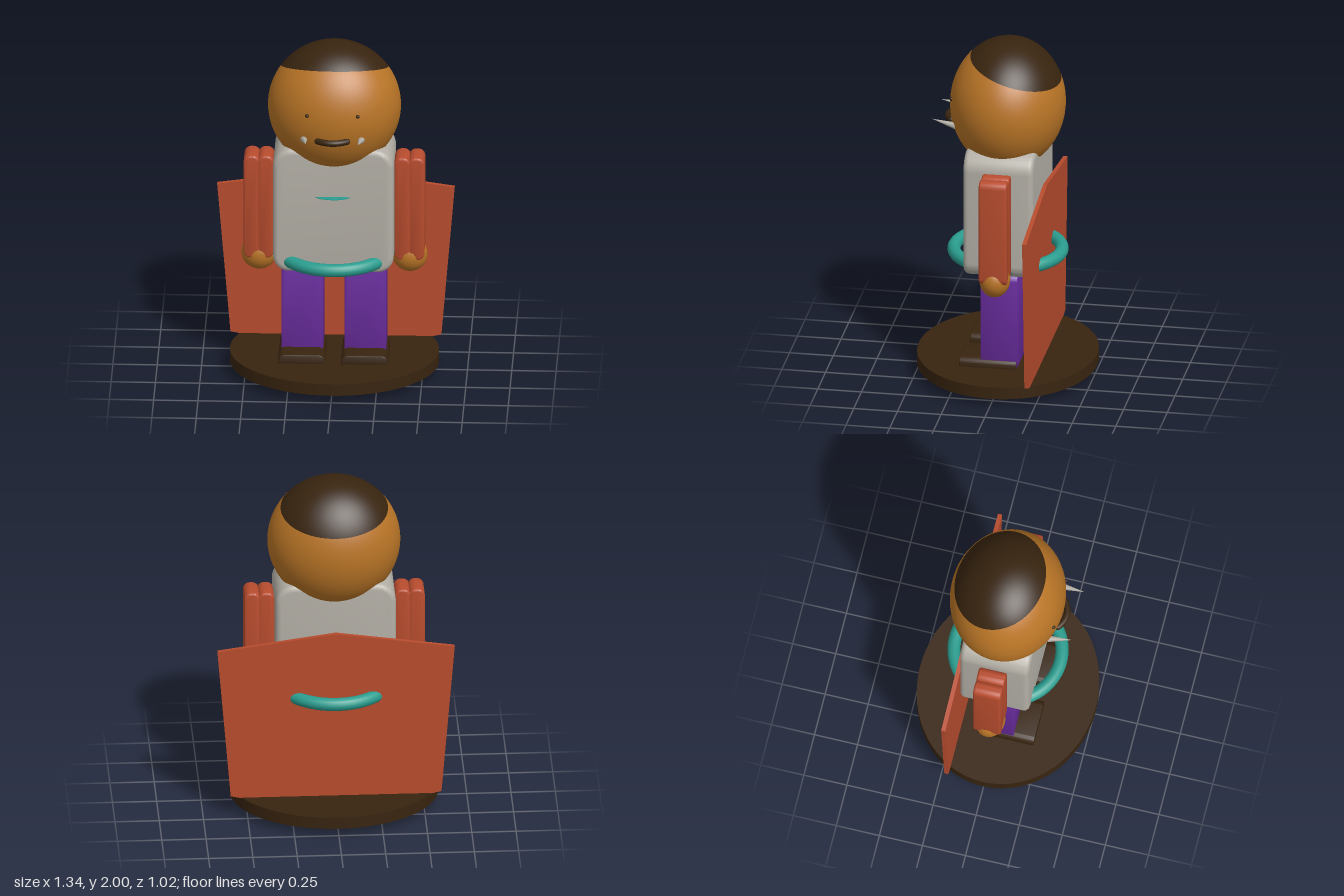
import * as THREE from 'three';
import { toCreasedNormals } from 'three/addons/utils/BufferGeometryUtils.js';

const material = (name, color) => {
  const m = new THREE.MeshStandardMaterial({ color });
  m.name = name;
  return m;
};

// Block with rounded front outline (top and bottom radii) and bevelled front and back edges
function roundedBlock(w, h, d, rTop, rBottom, bevel) {
  const x = w / 2 - bevel, y = h / 2 - bevel;
  const t = Math.max(rTop - bevel, 0.002), b = Math.max(rBottom - bevel, 0.002);
  const s = new THREE.Shape();
  s.absarc(x - t, y - t, t, 0, Math.PI / 2);
  s.absarc(-x + t, y - t, t, Math.PI / 2, Math.PI);
  s.absarc(-x + b, -y + b, b, Math.PI, Math.PI * 1.5);
  s.absarc(x - b, -y + b, b, Math.PI * 1.5, Math.PI * 2);
  const geo = new THREE.ExtrudeGeometry(s, {
    depth: d - 2 * bevel, bevelThickness: bevel, bevelSize: bevel, bevelSegments: 4, curveSegments: 8,
  });
  geo.translate(0, 0, -d / 2 + bevel);
  return toCreasedNormals(geo, 0.6);
}

export function createModel() {
  const model = new THREE.Group();
  const skin = material('skin', 0xb87426);
  const dark = material('darkBrown', 0x38240f);
  const grey = material('shirtGrey', 0xb4b0a7);
  const red = material('rustRed', 0xb84c2e);
  const purple = material('purple', 0x6a2c9f);
  const teal = material('teal', 0x2a9d8f);

  const add = (name, geo, mat, x = 0, y = 0, z = 0) => {
    const mesh = new THREE.Mesh(geo, mat);
    mesh.name = name;
    mesh.position.set(x, y, z);
    model.add(mesh);
    return mesh;
  };

  // Oval stand
  add('base', new THREE.CylinderGeometry(1, 1, 0.07, 64), dark, 0, 0.085, 0).scale.set(0.59, 1, 0.51);

  // Head ellipsoid, split along a tilted plane into hair and face
  const split = 0.942;
  const headPart = (from, length) => new THREE.SphereGeometry(1, 64, 40, 0, Math.PI * 2, from, length)
    .rotateX(-0.238).scale(0.375, 0.378, 0.325);
  add('hair', headPart(0, split), dark, 0, 1.622, 0);
  add('head', headPart(split, Math.PI - split), skin, 0, 1.622, 0);

  // Mouth bar curving around the face, with round ends
  const mouthPath = new THREE.QuadraticBezierCurve3(
    new THREE.Vector3(-0.083, 1.525, 0.31), new THREE.Vector3(0, 1.525, 0.372), new THREE.Vector3(0.083, 1.525, 0.31));
  add('mouth', new THREE.TubeGeometry(mouthPath, 20, 0.018, 12), dark);

  // Torso, belt ring and chest trim
  add('torso', roundedBlock(0.68, 0.75, 0.4, 0.11, 0.09, 0.03), grey, 0, 1.045, 0);
  add('belt', new THREE.TorusGeometry(0.305, 0.037, 16, 64).rotateX(Math.PI / 2), teal, 0, 0.73, 0);
  add('chestTrim', new THREE.CylinderGeometry(1, 1, 0.003, 32), teal, 0, 1.135, 0.19).scale.set(0.1, 1, 0.05);

  // Thin pointed cape panel
  const cape = new THREE.Shape([[0, 0.002], [0.595, 0.13], [0.67, 1.035], [0, 1.13], [-0.67, 1.035], [-0.595, 0.13]]
    .map(([x, y]) => new THREE.Vector2(x, y)));
  add('cape', new THREE.ExtrudeGeometry(cape, { depth: 0.024, bevelEnabled: false }), red, 0, 0, -0.223);

  for (const [side, s] of [['left', 1], ['right', -1]]) {
    add(side + 'Eye', new THREE.SphereGeometry(0.011, 12, 8), dark, s * 0.143, 1.675, 0.299);
    add(side + 'MouthEnd', new THREE.SphereGeometry(0.018, 12, 8), dark, s * 0.083, 1.525, 0.31);

    // Tusk beside the mouth
    const tusk = add(side + 'Tusk', new THREE.ConeGeometry(0.02, 0.14, 12).rotateX(Math.PI / 2), grey, s * 0.155, 1.535, 0.34);
    tusk.rotation.set(-0.2, -s * 0.1, 0);

    // Arm of two rounded slabs, and hand
    for (const [part, x] of [['Inner', 0.385], ['Outer', 0.465]]) {
      add(side + part + 'Arm', roundedBlock(0.09, 0.625, 0.16, 0.04, 0.04, 0.012), red, s * x, 1.014, 0);
    }
    add(side + 'Hand', new THREE.SphereGeometry(1, 32, 20), skin, s * 0.425, 0.71, 0).scale.set(0.1, 0.1, 0.087);

    // Leg and shoe
    add(side + 'Leg', roundedBlock(0.235, 0.56, 0.21, 0.045, 0.004, 0.004), purple, s * 0.178, 0.405, 0);
    add(side + 'Shoe', roundedBlock(0.265, 0.06, 0.325, 0.04, 0.004, 0.004), dark, s * 0.178, 0.142, 0.0625);
  }
  return model;
}
